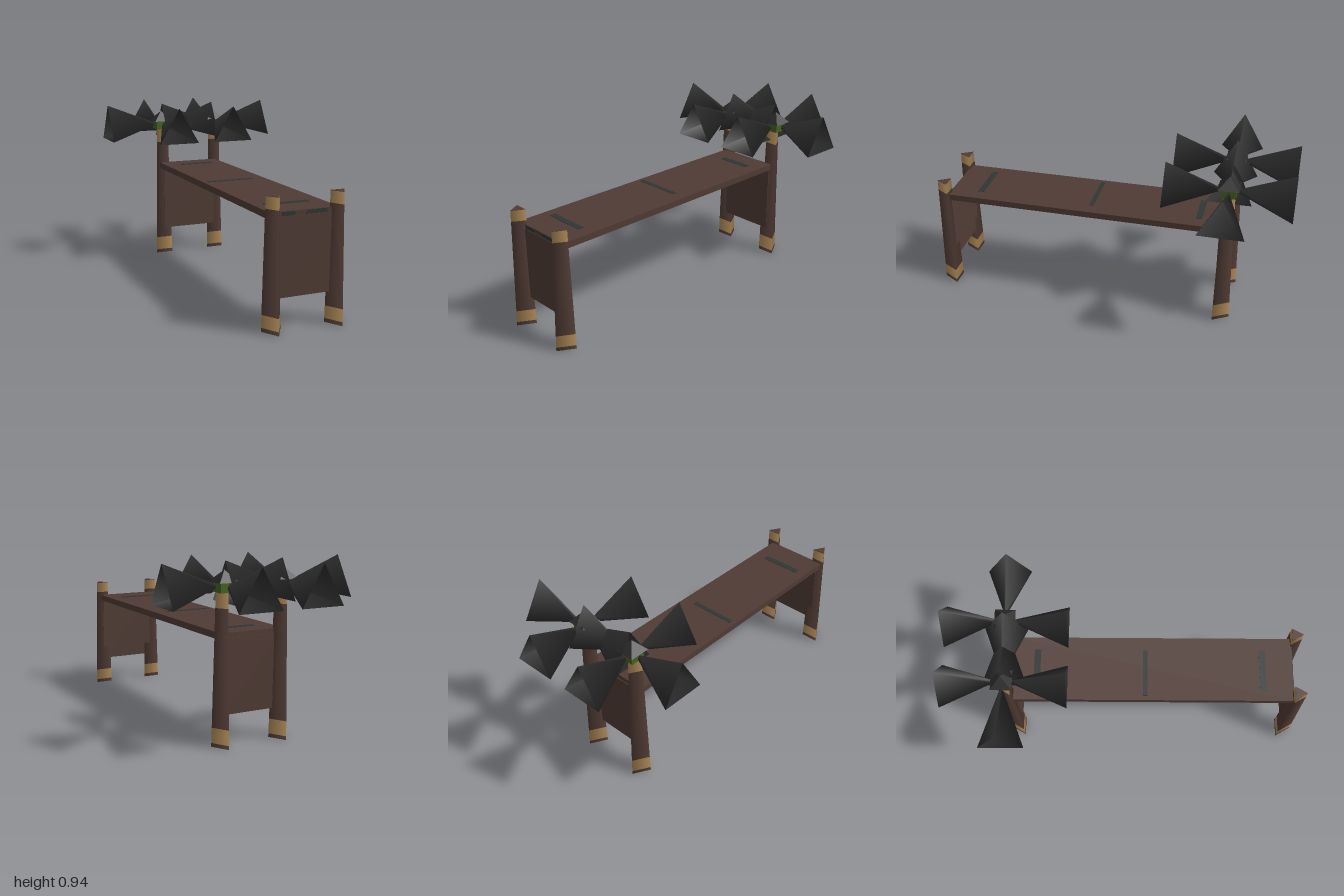
import * as THREE from 'three';

const mat = (name, color, side = THREE.FrontSide) => {
  const m = new THREE.MeshStandardMaterial({ color, side });
  m.name = name;
  return m;
};

export function createModel() {
  const brown = mat('dark wood', 0x503b34);
  const gold = mat('tan binding', 0xa98655);
  const black = mat('charcoal leaf', 0x2c2c2c, THREE.DoubleSide);
  const slate = mat('slate stain', 0x2f3634);
  const green = mat('green hub', 0x45611f);
  const model = new THREE.Group();

  const add = (parent, name, geometry, material, x = 0, y = 0, z = 0) => {
    const mesh = new THREE.Mesh(geometry, material);
    mesh.name = name;
    mesh.position.set(x, y, z);
    parent.add(mesh);
    return mesh;
  };
  // Box given by its two opposite corners
  const box = (name, material, [x0, y0, z0], [x1, y1, z1]) =>
    add(model, name, new THREE.BoxGeometry(x1 - x0, y1 - y0, z1 - z0), material,
      (x0 + x1) / 2, (y0 + y1) / 2, (z0 + z1) / 2);

  // Tapered three-sided leg, stacked from coloured sections
  const leg = (name, x, z, turn, levels, topRadius) => {
    const group = new THREE.Group();
    group.name = name;
    group.position.set(x, 0, z);
    group.rotation.y = turn;
    const height = levels[levels.length - 1];
    const radius = (y) => THREE.MathUtils.lerp(0.06, topRadius, y / height);
    for (let i = 0; i < levels.length - 1; i++) {
      const [a, b] = [levels[i], levels[i + 1]];
      add(group, i % 2 ? 'binding' : 'post',
        new THREE.CylinderGeometry(radius(b), radius(a), b - a, 3), i % 2 ? gold : brown, 0, (a + b) / 2);
    }
    add(group, 'postTop', new THREE.CylinderGeometry(topRadius, topRadius, 0.004, 3), brown, 0, height);
    model.add(group);
  };
  const sides = [['right', -0.176], ['left', 0.168]];
  for (const [side, x] of sides) {
    leg(side + 'FrontLeg', x, 0.94, 0, [0, 0.02, 0.085, 0.6, 0.66], 0.043);
    leg(side + 'BackLeg', x, -0.655, Math.PI, [0, 0.02, 0.1, 0.71, 0.79], 0.041);
  }

  // Long top and the two end panels
  box('topBoard', brown, [-0.195, 0.545, -0.635], [0.175, 0.58, 0.925]);
  box('frontPanel', brown, [-0.17, 0.16, 0.913], [0.165, 0.555, 0.928]);
  box('backPanel', brown, [-0.17, 0.16, -0.64], [0.165, 0.555, -0.625]);

  // Dark stains on the top, underside and ends
  for (const [x0, x1, z, w] of [[-0.14, 0.1, 0.755, 0.035], [-0.17, 0.1, 0.1, 0.025], [-0.1, 0.1, -0.505, 0.035]])
    box('stain', slate, [x0, 0.543, z - w / 2], [x1, 0.582, z + w / 2]);
  box('frontStain', slate, [-0.13, 0.558, 0.92], [-0.06, 0.578, 0.927]);
  box('frontStain', slate, [0, 0.558, 0.92], [0.11, 0.578, 0.927]);

  // Hollow three-sided leaf, widening outward from its tip
  const leaf = new THREE.CylinderGeometry(0.14, 0.012, 0.29, 3, 1, true);
  leaf.rotateY(Math.PI).rotateX(Math.PI / 2).translate(0, 0, 0.195);
  const p = leaf.attributes.position;
  for (let i = 0; i < p.count; i++) p.setY(i, p.getY(i) - (p.getZ(i) - 0.05) * 0.052);

  // Crown of four leaves around a green hub with a small pointed cap
  for (const [side, x] of [['right', -0.174], ['left', 0.172]]) {
    const crown = new THREE.Group();
    crown.name = side + 'Crown';
    crown.position.set(x, 0.82, -0.662);
    for (let i = 0; i < 4; i++) add(crown, 'leaf', leaf, black).rotation.y = i * Math.PI / 2;
    add(crown, 'hub', new THREE.BoxGeometry(0.08, 0.05, 0.08), green, 0, -0.005);
    const cap = new THREE.ConeGeometry(0.08, 0.06, 4).rotateY(Math.PI / 4).toNonIndexed();
    cap.computeVertexNormals();
    add(crown, 'cap', cap, black, 0, 0.05);
    model.add(crown);
  }
  return model;
}
